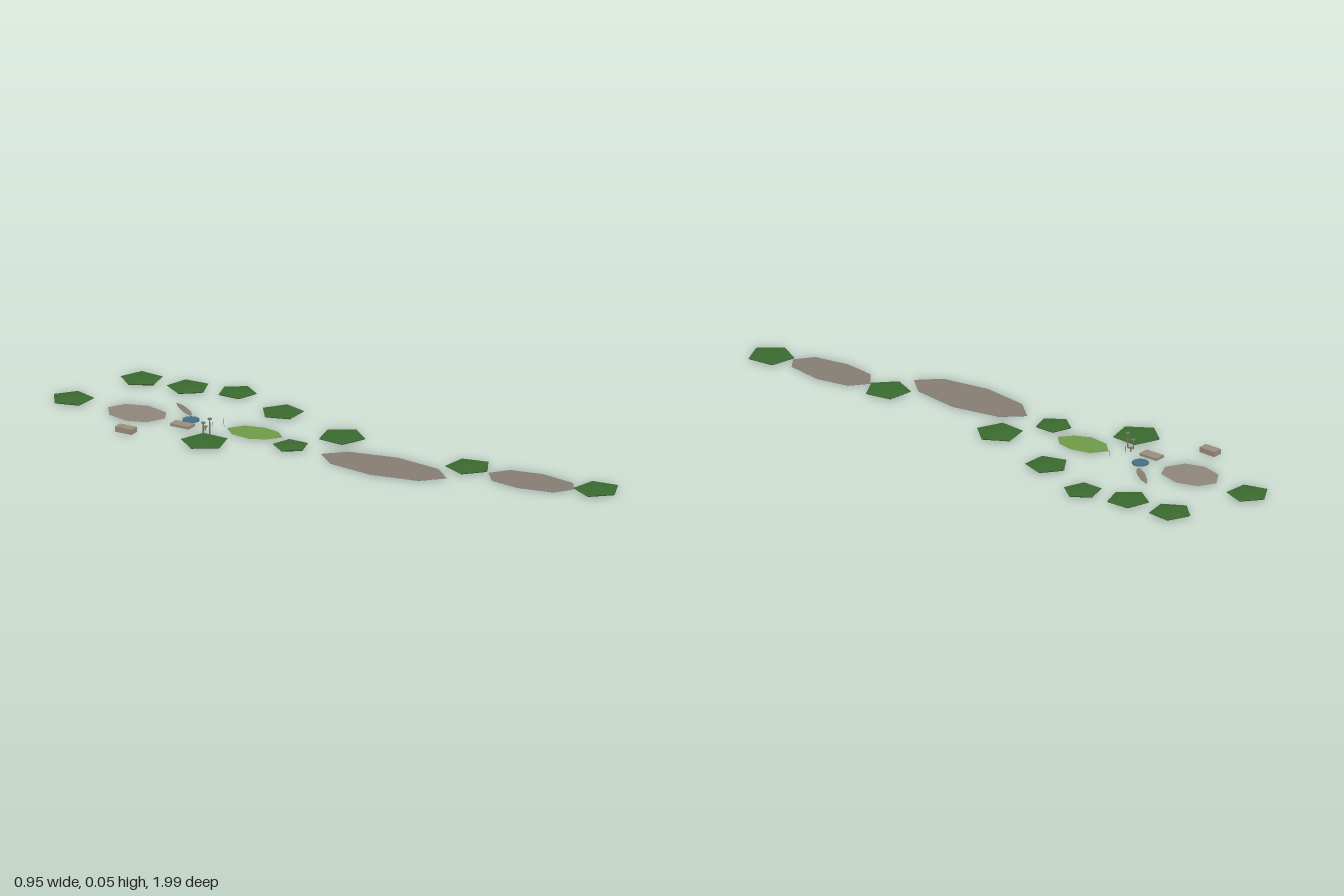
import * as THREE from 'three';

const material = (color, extra = {}) => new THREE.MeshStandardMaterial({ color, flatShading: true, ...extra });
const flat = { side: THREE.DoubleSide };
const MAT = {
  foliage: material(0x3a692f),
  earth: material(0x857c73, flat),
  gravel: material(0x8e857c, flat),
  water: material(0x416f86, flat),
  grass: material(0x6f9a47, flat),
  stone: material(0x9a8d7d),
  metal: material(0x77726c),
  reed: material(0x8b8a80),
};

export function createModel() {
  const root = new THREE.Group();
  const add = (name, geometry, mat, x = 0, y = 0, z = 0, turn = 0) => {
    const mesh = new THREE.Mesh(geometry, mat);
    mesh.name = name;
    mesh.position.set(x, y, z);
    mesh.rotation.y = turn;
    root.add(mesh);
    return mesh;
  };

  // Low five-sided shrubs: x, z, radius, direction of one corner in degrees (x towards z)
  const shrubs = [
    [-0.373, -0.937, 0.075, 182], [-0.068, -0.935, 0.075, 95], [0.0, -0.77, 0.075, 87],
    [0.094, -0.625, 0.068, -90], [0.082, -0.376, 0.076, 180], [-0.308, -0.32, 0.084, 92],
    [-0.112, -0.1, 0.064, 90], [0.08, -0.058, 0.083, -86], [0.214, 0.447, 0.081, 6],
    [0.4, 0.9, 0.082, 83],
  ];
  for (const [x, z, r, deg] of shrubs) {
    const profile = [[0, 0.003], [r * 0.92, 0.003], [r, 0.007], [r * 0.55, 0.011], [0, 0.0135]];
    const g = new THREE.LatheGeometry(profile.map(([a, b]) => new THREE.Vector2(a, b)), 5);
    add('shrub', g, MAT.foliage, x, 0, z, Math.PI / 2 - THREE.MathUtils.degToRad(deg));
  }

  // Flat ground patch from a plan outline of x, z corners
  const patch = (name, outline, mat, y) => {
    const shape = new THREE.Shape(outline.map(([x, z]) => new THREE.Vector2(x, -z)));
    add(name, new THREE.ShapeGeometry(shape).rotateX(-Math.PI / 2), mat, 0, y, 0);
  };
  patch('gravelPatch', [[-0.33, -0.8], [-0.265, -0.788], [-0.217, -0.724], [-0.212, -0.634],
    [-0.255, -0.59], [-0.328, -0.602], [-0.37, -0.66], [-0.375, -0.74]], MAT.gravel, 0.002);
  patch('lawn', [[-0.158, -0.38], [-0.096, -0.36], [-0.058, -0.3], [-0.05, -0.238],
    [-0.075, -0.186], [-0.128, -0.206], [-0.17, -0.248], [-0.185, -0.322]], MAT.grass, 0.003);
  patch('narrowBed', [[-0.124, -0.687], [-0.125, -0.645], [-0.142, -0.59], [-0.16, -0.56],
    [-0.175, -0.55], [-0.169, -0.597], [-0.145, -0.655]], MAT.earth, 0.003);

  // Long beds, each with a sheet of water just beneath
  const beds = [
    [[-0.08, 0.02], [0.005, 0.063], [0.095, 0.217], [0.127, 0.39],
      [0.09, 0.481], [0, 0.438], [-0.085, 0.285], [-0.117, 0.116]],
    [[0.232, 0.53], [0.306, 0.555], [0.365, 0.66], [0.385, 0.792],
      [0.348, 0.842], [0.274, 0.82], [0.211, 0.708], [0.19, 0.597]],
  ];
  for (const outline of beds) {
    patch('longBed', outline, MAT.earth, 0.0022);
    patch('bedWater', outline, MAT.water, 0.0016);
  }

  // Round basin
  add('basin', new THREE.CylinderGeometry(0.029, 0.029, 0.004, 20), MAT.water, -0.199, 0.004, -0.52);

  // Stone blocks
  add('tallBlock', new THREE.BoxGeometry(0.034, 0.019, 0.066), MAT.stone, -0.444, 0.0125, -0.571, 0.32);
  add('lowBlock', new THREE.BoxGeometry(0.04, 0.009, 0.074), MAT.stone, -0.26, 0.0075, -0.493, 0.34);

  // Capped posts: x, z, height
  for (const [x, z, h] of [[-0.234, -0.381, 0.055], [-0.243, -0.403, 0.037], [-0.225, -0.415, 0.016]]) {
    add('post', new THREE.CylinderGeometry(0.0022, 0.0026, h, 8), MAT.metal, x, h / 2, z);
    add('postCap', new THREE.CylinderGeometry(0.008, 0.008, 0.003, 10), MAT.metal, x, h - 0.0015, z);
  }

  // Thin reeds behind the lawn
  [-0.215, -0.202, -0.18, -0.152, -0.141].forEach((x, i) => {
    add('reed', new THREE.CylinderGeometry(0.0006, 0.0009, 0.022, 5), MAT.reed, x, 0.013, -0.4 - 0.016 * (i % 3));
  });

  return root;
}
